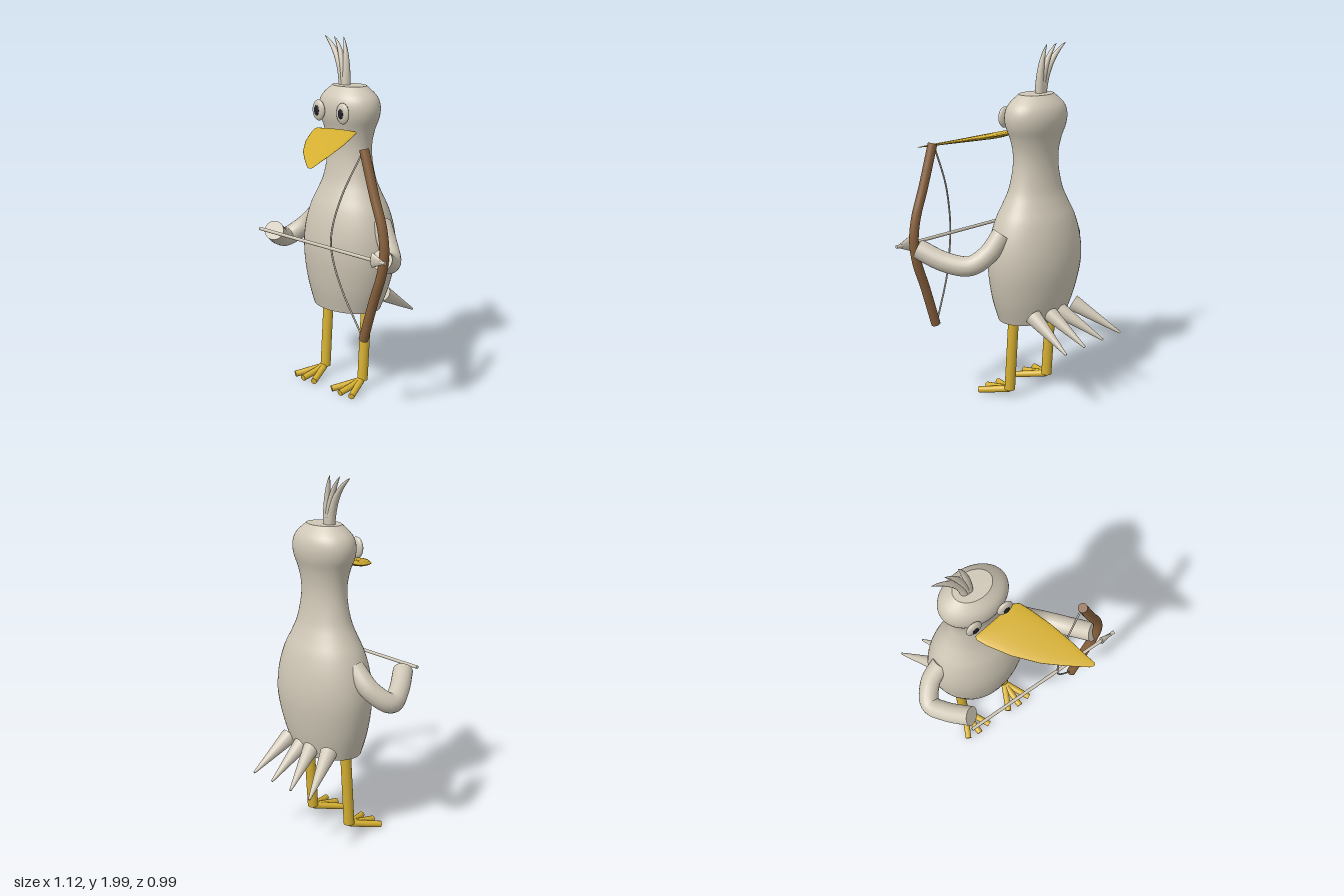
import * as THREE from 'three';

const mats = {};
for (const [name, color] of [
  ['feather', 0xcfc7b6], ['yellow', 0xd6b032], ['wood', 0x87603c], ['pupil', 0x20202c],
]) {
  mats[name] = new THREE.MeshStandardMaterial({ color });
  mats[name].name = name;
}

const V = (p) => new THREE.Vector3(...p);

function part(name, geometry, material) {
  const mesh = new THREE.Mesh(geometry, mats[material]);
  mesh.name = name;
  return mesh;
}

// Straight rod or cone from a to b
function rod(name, a, b, ra, rb, material, sides = 20) {
  const from = V(a), dir = V(b).sub(from);
  const mesh = part(name, new THREE.CylinderGeometry(rb, ra, dir.length(), sides), material);
  mesh.position.copy(from).addScaledVector(dir, 0.5);
  mesh.quaternion.setFromUnitVectors(new THREE.Vector3(0, 1, 0), dir.normalize());
  return mesh;
}

// Curved tube with flat end caps; taper(t) scales its radius
function bentTube(name, curve, radius, material, taper = null, sides = 20, steps = 32) {
  const group = new THREE.Group();
  group.name = name;
  const geo = new THREE.TubeGeometry(curve, steps, radius, sides);
  if (taper) {
    const pos = geo.attributes.position, v = new THREE.Vector3();
    for (let i = 0; i < pos.count; i++) {
      const t = Math.floor(i / (sides + 1)) / steps, c = curve.getPointAt(t);
      v.fromBufferAttribute(pos, i).sub(c).multiplyScalar(taper(t)).add(c);
      pos.setXYZ(i, v.x, v.y, v.z);
    }
    geo.computeVertexNormals();
  }
  group.add(part(name + 'Skin', geo, material));
  for (const t of taper ? [] : [0, 1]) {
    const cap = part(name + 'End', new THREE.CircleGeometry(radius, sides), material);
    cap.position.copy(curve.getPointAt(t));
    cap.quaternion.setFromUnitVectors(new THREE.Vector3(0, 0, 1),
      curve.getTangentAt(t).multiplyScalar(t ? 1 : -1));
    group.add(cap);
  }
  return group;
}

const spline = (pts) => new THREE.CatmullRomCurve3(pts.map(V));

// Body, neck and head as one oval turned form with flat ends
function makeBody() {
  const body = new THREE.Group();
  body.name = 'body';
  const profile = new THREE.SplineCurve([
    [0.22, 0.475], [0.265, 0.6], [0.296, 0.74], [0.302, 0.85], [0.286, 0.96], [0.253, 1.06],
    [0.21, 1.14], [0.172, 1.22], [0.147, 1.33], [0.145, 1.42], [0.163, 1.5], [0.191, 1.57],
    [0.197, 1.63], [0.175, 1.685], [0.11, 1.74],
  ].map((p) => new THREE.Vector2(...p)));
  const skin = new THREE.LatheGeometry(profile.getPoints(56), 48);
  const bottom = new THREE.CircleGeometry(0.22, 48).rotateX(Math.PI / 2).translate(0, 0.475, 0);
  const top = new THREE.CircleGeometry(0.11, 48).rotateX(-Math.PI / 2).translate(0, 1.74, 0);
  for (const [name, geo] of [['bodySkin', skin], ['bodyBottom', bottom], ['headTop', top]]) {
    geo.scale(1, 1, 0.725);
    // The foot of the body leans slightly forward
    const pos = geo.attributes.position;
    for (let i = 0; i < pos.count; i++) {
      const lean = 0.02 * Math.max(0, (0.8 - pos.getY(i)) / 0.325);
      pos.setXYZ(i, pos.getX(i) - 0.104, pos.getY(i), pos.getZ(i) - 0.117 + lean);
    }
    body.add(part(name, geo, 'feather'));
  }
  return body;
}

// Flat sideways-swept beak: oval sections [leftX, leftZ, rightX, rightZ, halfThickness]
function makeBeak() {
  const sections = [
    [-0.2, 0.035, 0.06, 0.005, 0], [-0.205, 0.055, 0.09, 0.02, 0.01],
    [-0.18, 0.105, 0.12, 0.085, 0.018], [-0.105, 0.215, 0.16, 0.19, 0.014],
    [0, 0.33, 0.197, 0.32, 0.009], [0.1, 0.41, 0.22, 0.42, 0.006],
    [0.2, 0.483, 0.235, 0.475, 0.002], [0.222, 0.49, 0.232, 0.487, 0],
  ];
  const n = 24, pos = [], index = [];
  sections.forEach(([lx, lz, rx, rz, th], i) => {
    for (let j = 0; j < n; j++) {
      const a = (j / n) * Math.PI * 2, u = (Math.cos(a) + 1) / 2;
      const x = lx + (rx - lx) * u, z = lz + (rz - lz) * u;
      pos.push(x, 1.517 - 0.23 * z + th * Math.sin(a), z);
      if (i === sections.length - 1) continue;
      const k = (j + 1) % n, p = i * n;
      index.push(p + j, p + k, p + n + j, p + k, p + n + k, p + n + j);
    }
  });
  const geo = new THREE.BufferGeometry();
  geo.setAttribute('position', new THREE.Float32BufferAttribute(pos, 3));
  geo.setIndex(index);
  geo.computeVertexNormals();
  return part('beak', geo, 'yellow');
}

function makeEye(x) {
  const eye = new THREE.Group();
  eye.name = 'eye';
  const ball = part('eyeball', new THREE.SphereGeometry(1, 28, 18), 'feather');
  ball.scale.set(0.046, 0.058, 0.019);
  const pupil = part('pupil', new THREE.SphereGeometry(1, 20, 12), 'pupil');
  pupil.scale.set(0.019, 0.029, 0.005);
  pupil.position.z = 0.0175;
  eye.add(ball, pupil);
  eye.position.set(x, 1.605, 0.028);
  return eye;
}

function makeLeg(x) {
  const leg = new THREE.Group();
  leg.name = 'leg';
  leg.add(rod('shin', [x, 0.5, -0.1], [x, 0.055, -0.07], 0.03, 0.03, 'yellow'));
  for (const s of [-1, 0, 1]) {
    leg.add(rod('toe', [x, 0.052, -0.06], [x + s * 0.08, 0.023, s ? 0.1 : 0.112], 0.02, 0.018, 'yellow', 14));
  }
  return leg;
}

function makeBow() {
  const bow = new THREE.Group();
  bow.name = 'bow';
  const mid = 0.968;
  // Half of each curve, mirrored about the middle: [x, height above middle, z]
  const mirrored = (half) => spline([
    ...half.map(([x, h, z]) => [x, mid + h, z]),
    ...half.slice(0, -1).reverse().map(([x, h, z]) => [x, mid - h, z]),
  ]);
  bow.add(bentTube('bowLimb', mirrored(
    [[0.345, 0.515, 0.222], [0.42, 0.28, 0.222], [0.475, 0.125, 0.222], [0.493, 0, 0.222]]), 0.026, 'wood', null, 20, 48));
  bow.add(bentTube('bowString', mirrored(
    [[0.335, 0.5, 0.222], [0.225, 0.27, 0.257], [0.178, 0.11, 0.28], [0.165, 0, 0.287]]), 0.005, 'feather', null, 8, 48));
  return bow;
}

function makeArrow() {
  const arrow = new THREE.Group();
  arrow.name = 'arrow';
  arrow.add(rod('arrowShaft', [-0.415, 0, 0], [0.562, 0, 0], 0.0095, 0.0095, 'feather', 14));
  const head = part('arrowHead', new THREE.CylinderGeometry(0.008, 0.04, 0.075, 20).rotateZ(-Math.PI / 2), 'feather');
  head.scale.z = 0.4;
  head.position.x = 0.51;
  arrow.add(head);
  arrow.position.set(0, 0.935, 0.287);
  return arrow;
}

export function createModel() {
  const model = new THREE.Group();
  model.name = 'birdArcher';
  model.add(makeBody(), makeBeak(), makeEye(-0.2), makeEye(-0.01));
  model.add(makeLeg(-0.26), makeLeg(0.05), makeBow(), makeArrow());

  // Arms
  model.add(bentTube('rightArm', spline([[-0.335, 1.0, -0.11], [-0.44, 0.89, -0.085],
    [-0.505, 0.82, 0], [-0.46, 0.85, 0.1], [-0.372, 0.92, 0.22]]), 0.055, 'feather'));
  model.add(bentTube('leftArm', spline([[0.155, 1.0, -0.11], [0.23, 0.9, -0.08],
    [0.31, 0.84, -0.025], [0.39, 0.855, 0.08], [0.47, 0.92, 0.215]]), 0.055, 'feather'));

  // Crest feathers
  for (const [x, cx, tip] of [[-0.152, -0.17, -0.322], [-0.14, -0.15, -0.245], [-0.13, -0.125, -0.168]]) {
    const curve = new THREE.QuadraticBezierCurve3(
      V([x, 1.72, -0.115]), V([cx, 1.91, -0.12]), V([tip, 2.0, -0.134]));
    model.add(bentTube('crestFeather', curve, 0.025, 'feather',
      (t) => Math.max(0.001, Math.pow(1 - t, 0.75) * (1 + 0.5 * t)), 14, 20));
  }

  // Tail feathers
  for (const [base, tip] of [[-0.285, -0.413], [-0.15, -0.26], [-0.073, -0.105], [0.045, 0.05]]) {
    model.add(rod('tailFeather', [base, 0.535, -0.245], [tip, 0.382, -0.492], 0.047, 0.006, 'feather'));
  }
  return model;
}
